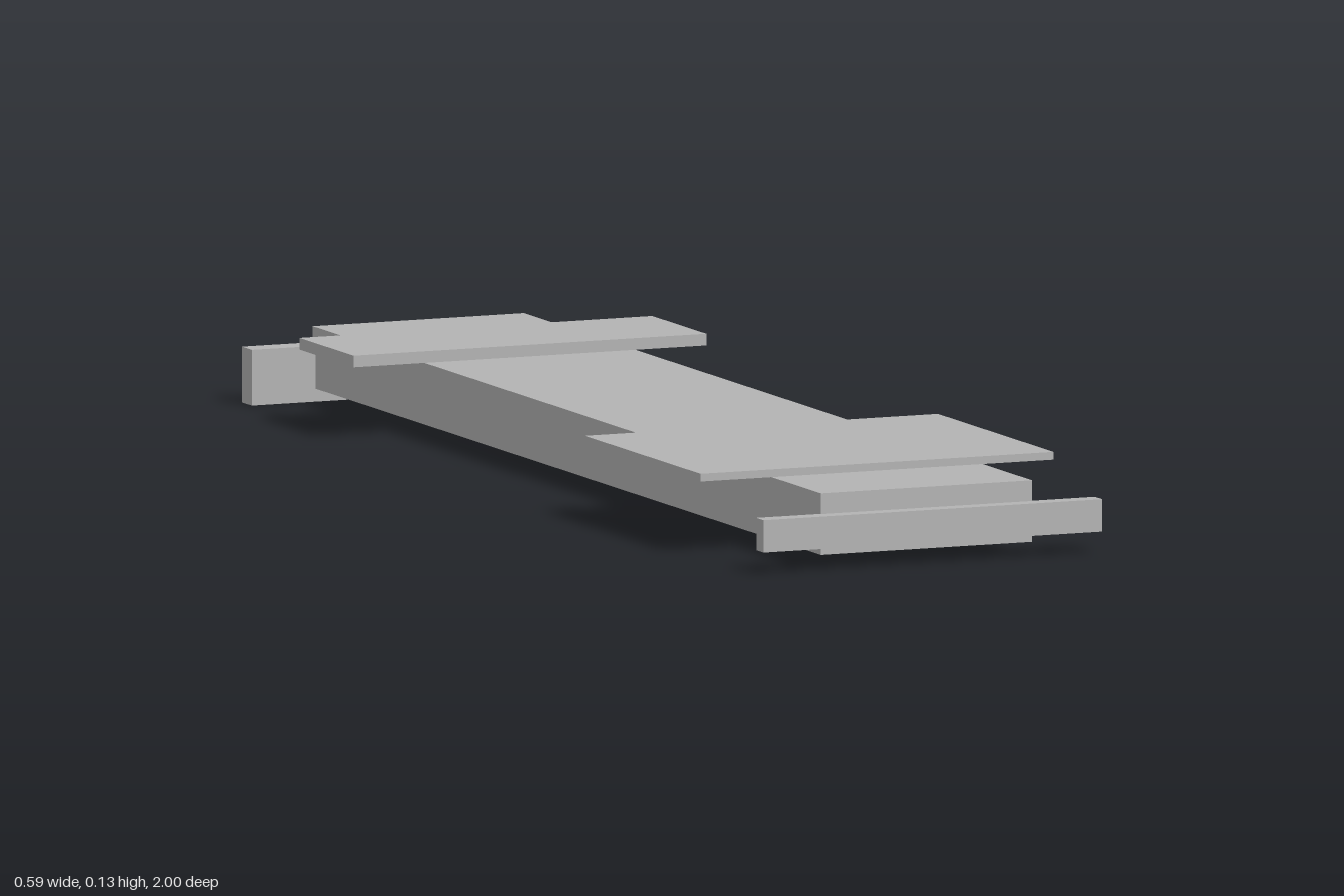
import * as THREE from 'three';

export function createModel() {
  const model = new THREE.Group();
  const grey = new THREE.MeshStandardMaterial({ color: 0xb3b3b3 });
  grey.name = 'plain grey';

  // Box centred on x, given by its half width and its y and z limits
  function slab(name, halfWidth, y0, y1, z0, z1) {
    const mesh = new THREE.Mesh(new THREE.BoxGeometry(halfWidth * 2, y1 - y0, z1 - z0), grey);
    mesh.name = name;
    mesh.position.set(0, (y0 + y1) / 2, (z0 + z1) / 2);
    model.add(mesh);
  }

  // Long central beam
  slab('beam', 0.176, 0.02, 0.115, -0.973, 0.975);

  // Wide plates lying on the beam
  slab('frontPlate', 0.294, 0.115, 0.127, 0.343, 0.786);
  slab('rearPlate', 0.294, 0.115, 0.133, -0.752, -0.545);

  // Cross bars closing both ends
  slab('frontBar', 0.282, 0.033, 0.083, 0.972, 1);
  slab('rearBar', 0.282, 0, 0.086, -1, -0.962);

  return model;
}
